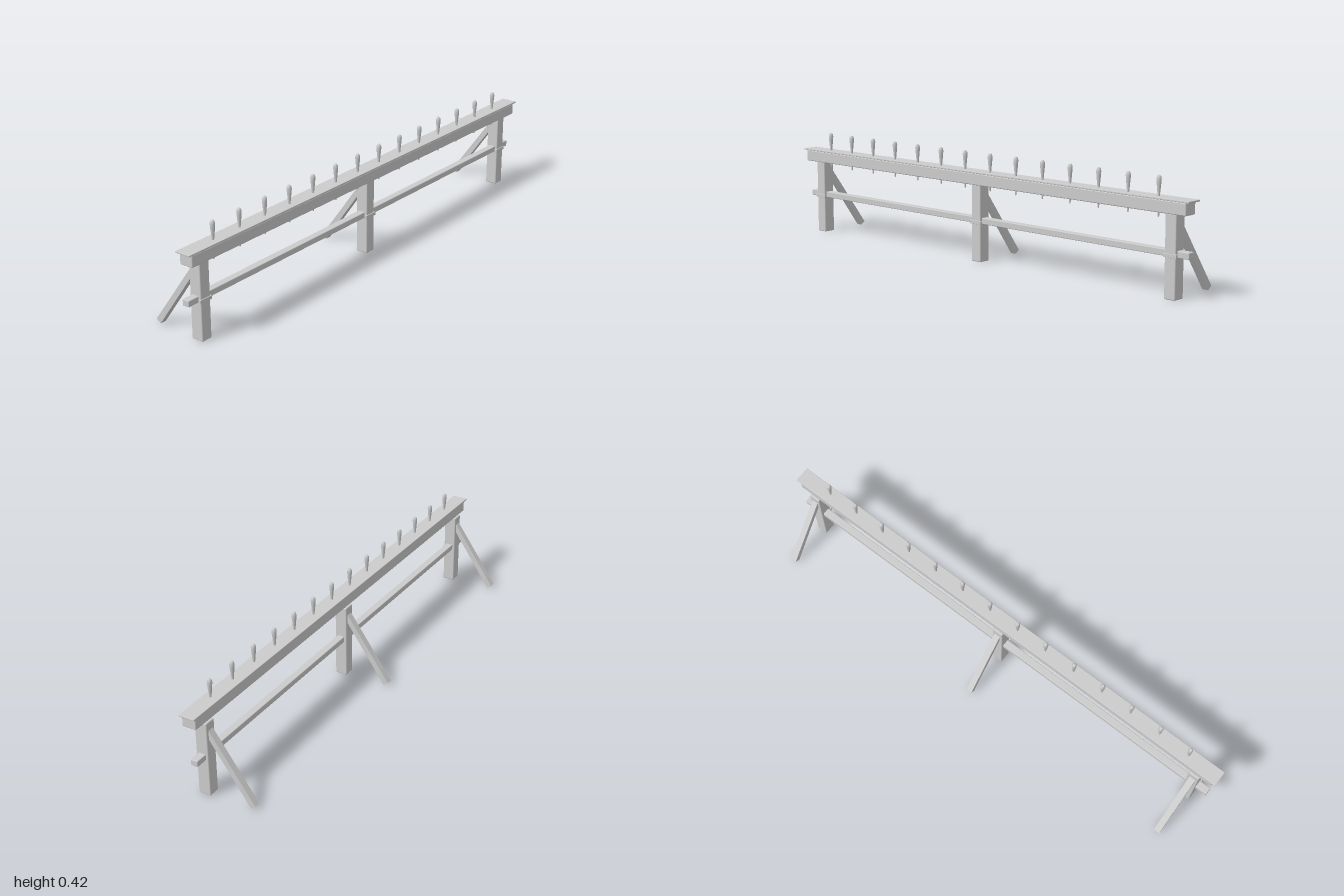
import * as THREE from 'three';
import { RoundedBoxGeometry } from 'three/addons/geometries/RoundedBoxGeometry.js';

const wood = new THREE.MeshStandardMaterial({ color: 0xcccccc });
wood.name = 'pale grey wood';

function add(parent, name, geometry, x = 0, y = 0, z = 0) {
  const mesh = new THREE.Mesh(geometry, wood);
  mesh.name = name;
  mesh.position.set(x, y, z);
  parent.add(mesh);
  return mesh;
}

// Softly bevelled timber given by its extents in y and z, centred on x
function timber(parent, name, x, width, y0, y1, z0, z1, bevel) {
  const geometry = new RoundedBoxGeometry(width, y1 - y0, z1 - z0, 2, bevel);
  return add(parent, name, geometry, x, (y0 + y1) / 2, (z0 + z1) / 2);
}

export function createModel() {
  const model = new THREE.Group();
  model.name = 'pinRail';

  // Long horizontal timbers
  timber(model, 'topPlank', 0, 2, 0.343, 0.35, 0.059, 0.123, 0.002);
  timber(model, 'beam', 0, 1.972, 0.298, 0.343, 0.064, 0.12, 0.004);
  timber(model, 'lowerRail', 0, 1.972, 0.147, 0.171, 0.067, 0.096, 0.003);

  // Slanted brace outline: shape x is depth z, shape y is height
  const outline = new THREE.Shape([
    [-0.104, 0.001], [0.06, 0.234], [0.06, 0.27], [-0.123, 0.014],
  ].map(([z, y]) => new THREE.Vector2(z, y)));
  const braceGeometry = new THREE.ExtrudeGeometry(outline, { depth: 0.025, bevelEnabled: false });
  braceGeometry.translate(0, 0, -0.0125).rotateY(-Math.PI / 2);

  // Three posts, each with a rear brace and a small cleat on the front
  for (const x of [-0.915, 0, 0.915]) {
    const support = new THREE.Group();
    support.name = 'support';
    model.add(support);
    timber(support, 'post', x, 0.046, 0, 0.298, 0.057, 0.106, 0.004);
    timber(support, 'cleat', x, 0.056, 0.146, 0.16, 0.1, 0.109, 0.001);
    add(support, 'brace', braceGeometry, x);
  }

  // Turned pins through the beam, swelling towards the rounded handle
  const profile = [
    [0, 0.278], [0.003, 0.28], [0.004, 0.3], [0.004, 0.35], [0.0055, 0.365],
    [0.0085, 0.395], [0.0095, 0.409], [0.0075, 0.418], [0.004, 0.422], [0, 0.422],
  ].map(([r, y]) => new THREE.Vector2(r, y));
  const pinGeometry = new THREE.LatheGeometry(profile, 10);
  const pinCount = 14;
  for (let i = 0; i < pinCount; i++) {
    add(model, 'pin', pinGeometry, -0.857 + i * (1.712 / (pinCount - 1)), 0, 0.095);
  }
  return model;
}
